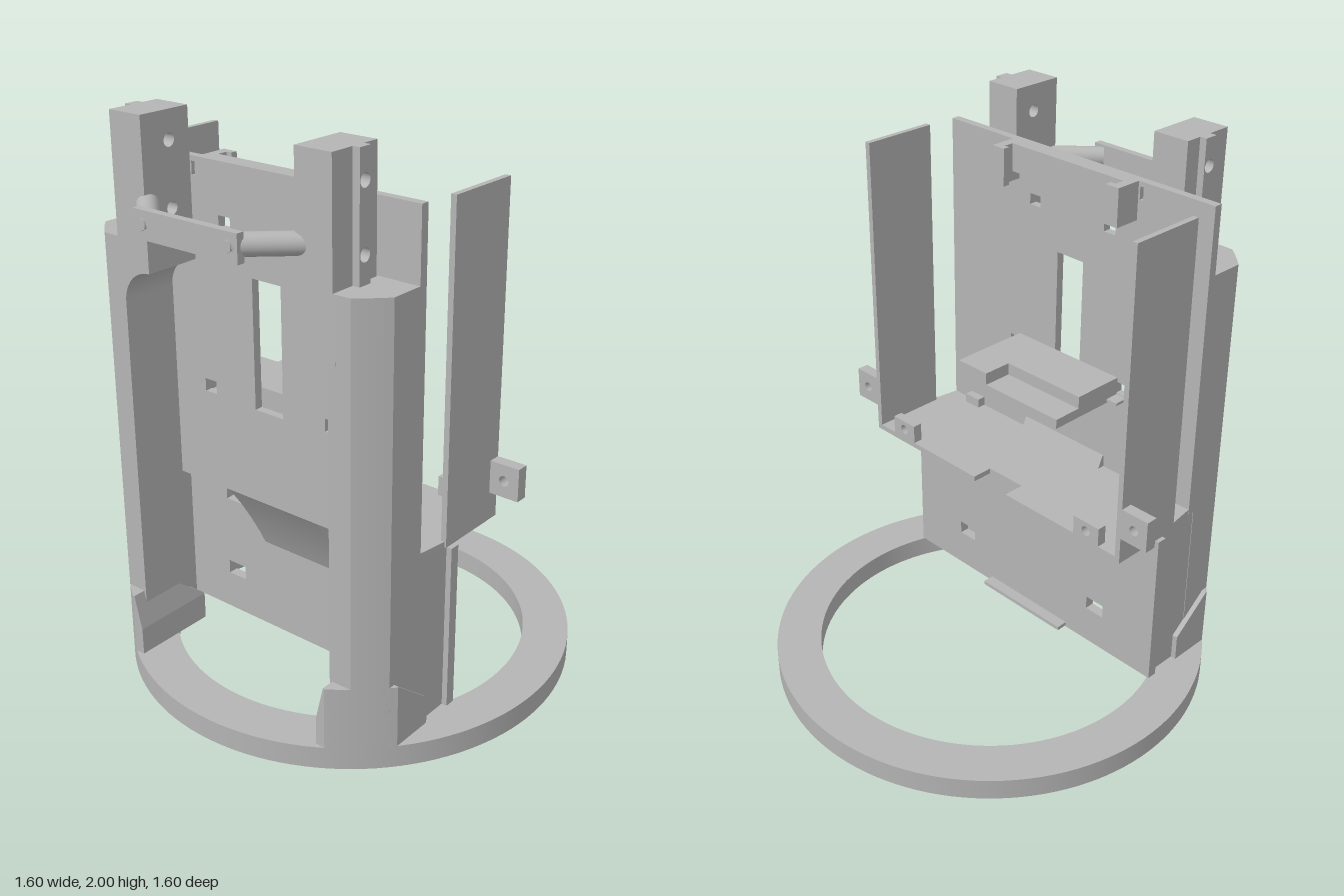
import * as THREE from 'three';
import { toCreasedNormals } from 'three/addons/utils/BufferGeometryUtils.js';

export function createModel() {
  const model = new THREE.Group();
  model.name = 'standFrame';
  const grey = new THREE.MeshStandardMaterial({ color: 0xb4b4b4 });
  grey.name = 'plain grey';

  function add(name, geometry) {
    const mesh = new THREE.Mesh(geometry, grey);
    mesh.name = name;
    model.add(mesh);
    return mesh;
  }

  // Mirrored copy across x = 0 with the corner order turned round
  function mirrored(geometry) {
    const g = geometry.index ? geometry.toNonIndexed() : geometry.clone();
    g.scale(-1, 1, 1);
    for (const a of Object.values(g.attributes)) {
      const n = a.itemSize;
      for (let i = 0; i < a.count; i += 3) {
        for (let k = 0; k < n; k++) {
          const p = i * n + k, q = (i + 2) * n + k, t = a.array[p];
          a.array[p] = a.array[q];
          a.array[q] = t;
        }
      }
    }
    return g;
  }
  function addPair(name, geometry) {
    add(name + 'Left', geometry);
    add(name + 'Right', mirrored(geometry));
  }

  // Box given by its limits
  function box(x0, x1, y0, y1, z0, z1) {
    return new THREE.BoxGeometry(x1 - x0, y1 - y0, z1 - z0)
      .translate((x0 + x1) / 2, (y0 + y1) / 2, (z0 + z1) / 2);
  }
  const shapeOf = (pts) => new THREE.Shape(pts.map(([x, y]) => new THREE.Vector2(x, y)));
  function rectHole(shape, cx, cy, w, h) {
    shape.holes.push(new THREE.Path([[-1, -1], [-1, 1], [1, 1], [1, -1]]
      .map(([a, b]) => new THREE.Vector2(cx + a * w / 2, cy + b * h / 2))));
  }
  function roundHole(shape, cx, cy, r) {
    shape.holes.push(new THREE.Path().absarc(cx, cy, r, 0, Math.PI * 2, true));
  }
  const extrude = (shape, depth) =>
    new THREE.ExtrudeGeometry(shape, { depth, bevelEnabled: false, curveSegments: 24 });
  // Front-facing plate, footprint prism (x, z) and side profile prism (z, y)
  const plate = (shape, z0, z1) => extrude(shape, z1 - z0).translate(0, 0, z0);
  const footprint = (pts, y0, y1) =>
    extrude(shapeOf(pts.map(([x, z]) => [x, -z])), y1 - y0).rotateX(-Math.PI / 2).translate(0, y0, 0);
  const side = (shape, x0, x1) => extrude(shape, x1 - x0).rotateY(-Math.PI / 2).translate(x1, 0, 0);
  // Points on the outer circle between two x positions
  function rim(x0, x1, n = 8) {
    return Array.from({ length: n + 1 }, (_, i) => {
      const x = x0 + (x1 - x0) * i / n;
      return [x, Math.sqrt(0.64 - x * x)];
    });
  }

  // Base ring
  const ring = new THREE.Shape().absarc(0, 0, 0.8, 0, Math.PI * 2, false);
  roundHole(ring, 0, 0, 0.637);
  add('baseRing', toCreasedNormals(
    new THREE.ExtrudeGeometry(ring, { depth: 0.08, bevelEnabled: false, curveSegments: 64 })
      .rotateX(-Math.PI / 2), 0.5));

  // Curved columns
  const column = footprint([[0.42, 0.415], [0.592, 0.415], ...rim(0.592, 0.503), [0.42, 0.624]], 0.08, 1.6);
  addPair('column', toCreasedNormals(column, 0.4));

  // Shoulders with a rounded inner corner
  const shoulder = shapeOf([[0.45, 1.6], [0.305, 1.6], [0.305, 1.5]]);
  shoulder.absarc(0.305, 1.385, 0.115, Math.PI / 2, 0, true);
  shoulder.lineTo(0.45, 1.385);
  addPair('shoulder', plate(shoulder, 0.42, 0.624));

  // Column feet with a sloped back
  const foot = [[0.4, 0.36], [0.61, 0.36], ...rim(0.61, 0.435), [0.4, 0.67]];
  addPair('foot', toCreasedNormals(footprint(foot, 0.08, 0.18), 0.4));
  const slope = footprint(foot, 0.18, 0.305);
  const sp = slope.attributes.position;
  for (let i = 0; i < sp.count; i++) {
    if (sp.getY(i) > 0.3) {
      sp.setZ(i, Math.max(sp.getZ(i), 0.515));
      if (sp.getX(i) < 0.41) sp.setX(i, 0.43);
    }
  }
  slope.computeVertexNormals();
  addPair('footSlope', toCreasedNormals(slope, 0.4));

  // Top posts and rails with cross holes
  const post = shapeOf([[0.425, 1.6], [0.624, 1.6], [0.624, 2], [0.425, 2]]);
  const rail = shapeOf([[0.485, 1.6], [0.535, 1.6], [0.535, 2], [0.485, 2]]);
  for (const s of [post, rail]) for (const y of [1.69, 1.905]) roundHole(s, 0.51, y, 0.022);
  addPair('topPost', side(post, 0.305, 0.44));
  addPair('topRail', side(rail, 0.44, 0.465));

  // Upper panel
  const upper = shapeOf([[-0.592, 0.7], [0.592, 0.7], [0.592, 1.84], [-0.592, 1.84]]);
  rectHole(upper, 0, 1.26, 0.12, 0.45);
  for (const s of [-1, 1]) {
    rectHole(upper, s * 0.26, 1.065, 0.05, 0.045);
    rectHole(upper, s * 0.172, 1.645, 0.05, 0.04);
    rectHole(upper, s * 0.299, 1.8, 0.014, 0.045);
  }
  add('upperPanel', plate(upper, 0.388, 0.418));

  // Lower panel with its slots, lips and side walls
  const lower = shapeOf([[-0.61, 0.08], [0.61, 0.08], [0.61, 0.68], [-0.61, 0.68]]);
  for (const s of [-1, 1]) for (const y of [0.25, 0.56]) rectHole(lower, s * 0.338, y, 0.08, 0.052);
  add('lowerPanel', plate(lower, 0.208, 0.245));
  add('lowerLip', box(-0.2, 0.2, 0.085, 0.1, 0.165, 0.21));
  addPair('upperLip', box(0.36, 0.43, 0.675, 0.685, 0.165, 0.21));
  addPair('lowerSideWall', box(0.56, 0.59, 0.08, 0.7, 0.24, 0.425));

  // Curved chute under the shelf
  const chute = shapeOf([[0.22, 0.7], [0.22, 0.42], [0.245, 0.42], [0.27, 0.47], [0.31, 0.54], [0.36, 0.62], [0.418, 0.7]]);
  add('chute', toCreasedNormals(side(chute, -0.195, 0.195), 0.4));

  // Shelf with a rear notch
  add('shelf', footprint([[-0.61, 0], [-0.08, 0], [-0.08, 0.08], [0.08, 0.08], [0.08, 0],
    [0.61, 0], [0.61, 0.25], [0.59, 0.39], [-0.59, 0.39], [-0.61, 0.25]], 0.7, 0.72));
  const ridge = shapeOf([[0.36, 0.72], [0.39, 0.72], [0.39, 0.765], [0.38, 0.765]]);
  add('shelfRidge', side(ridge, -0.195, 0.195));
  addPair('shelfClip', box(0.43, 0.5, 0.72, 0.755, 0.355, 0.388));

  // Side wings
  addPair('wing', box(0.592, 0.612, 0.7, 1.84, 0, 0.28));

  // Drilled tabs at the rear corners
  function tab(x0, x1, y0, y1, depth) {
    const s = shapeOf([[x0, y0], [x1, y0], [x1, y1], [x0, y1]]);
    roundHole(s, (x0 + x1) / 2, (y0 + y1) / 2, 0.018);
    return plate(s, 0, depth);
  }
  addPair('outerTab', tab(0.61, 0.72, 0.8, 0.915, 0.043));
  addPair('innerTab', tab(0.405, 0.517, 0.72, 0.79, 0.035));

  // Tray with a stepped recess
  add('trayFloor', box(-0.24, 0.24, 1.025, 1.06, 0.08, 0.388));
  add('trayTop', footprint([[0.1, 0.08], [0.24, 0.08], [0.24, 0.388], [-0.24, 0.388],
    [-0.24, 0.19], [0.1, 0.19]], 1.06, 1.105));
  addPair('trayClip', box(0.24, 0.285, 1.03, 1.04, 0.335, 0.388));

  // Bracket at the top of the panel
  add('bracketBar', box(-0.25, 0.25, 1.74, 1.84, 0.352, 0.39));
  addPair('bracketLeg', box(0.25, 0.285, 1.705, 1.84, 0.29, 0.39));
  addPair('bracketToe', box(0.23, 0.25, 1.705, 1.84, 0.29, 0.315));

  // Front handle: two slanted rods and a bolted plate
  const from = new THREE.Vector3(0.335, 1.718, 0.585), to = new THREE.Vector3(0.17, 1.718, 0.735);
  const rod = new THREE.CylinderGeometry(0.036, 0.036, from.distanceTo(to), 24);
  rod.applyQuaternion(new THREE.Quaternion().setFromUnitVectors(
    new THREE.Vector3(0, 1, 0), to.clone().sub(from).normalize()));
  const mid = from.clone().add(to).multiplyScalar(0.5);
  addPair('handleRod', rod.translate(mid.x, mid.y, mid.z));
  add('handlePlate', box(-0.21, 0.21, 1.67, 1.762, 0.732, 0.76));
  addPair('handleBolt', new THREE.CylinderGeometry(0.02, 0.02, 0.01, 6)
    .rotateX(Math.PI / 2).translate(0.172, 1.718, 0.762));

  return model;
}
